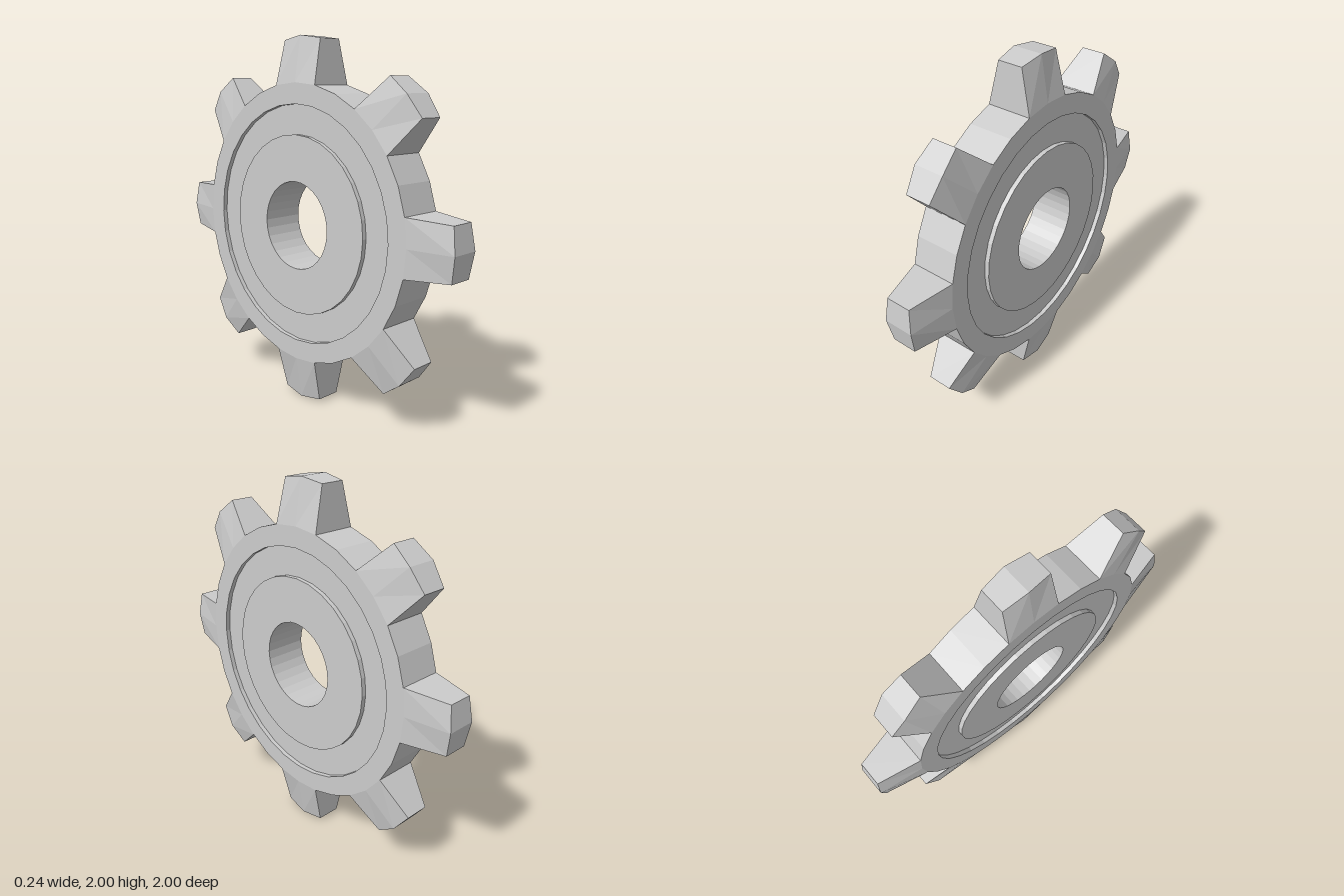
import * as THREE from 'three';

const SEGMENTS = 32, TEETH = 8;
const STEP = (Math.PI * 2) / SEGMENTS;
const ROOT = 0.76, HALF = 0.12;

// Disc turned about the x axis: bore, hub, recessed ring groove and rim
function discGeometry() {
  const bore = 0.24, hub = 0.49, rim = 0.65, floor = HALF - 0.025;
  const top = [[ROOT, HALF], [rim, HALF], [rim, floor], [hub, floor], [hub, HALF], [bore, HALF]];
  const bottom = top.map(([r, h]) => [r, -h]).reverse();
  const profile = [...top, ...bottom, top[0]].map(([r, h]) => new THREE.Vector2(r, h));
  const geo = new THREE.LatheGeometry(profile, SEGMENTS).toNonIndexed();
  geo.rotateZ(Math.PI / 2);
  geo.computeVertexNormals();
  return geo;
}

// Tapered tooth pointing along +y, lofted from a root section to a tip section
function toothGeometry() {
  const section = (z, yEdge, yMid, xEdge, xMid) => [
    [xEdge, yEdge, -z], [xMid, yMid, 0], [xEdge, yEdge, z],
    [-xEdge, yEdge, z], [-xMid, yMid, 0], [-xEdge, yEdge, -z],
  ];
  const root = section(ROOT * Math.sin(STEP), ROOT * Math.cos(STEP), ROOT, HALF, HALF);
  const tip = section(0.135, 0.98, 1, 0.067, 0.08);
  const pos = [];
  const quad = (a, b, c, d) => [a, b, c, a, c, d].forEach((p) => pos.push(...p));
  for (let i = 0; i < 6; i++) {
    const j = (i + 1) % 6;
    quad(root[j], root[i], tip[i], tip[j]);
  }
  // Shallow two-facet tip
  quad(tip[0], tip[5], tip[4], tip[1]);
  quad(tip[1], tip[4], tip[3], tip[2]);
  const geo = new THREE.BufferGeometry();
  geo.setAttribute('position', new THREE.Float32BufferAttribute(pos, 3));
  geo.computeVertexNormals();
  return geo;
}

export function createModel() {
  const material = new THREE.MeshStandardMaterial({ color: 0xcccccc, flatShading: true });
  const gear = new THREE.Group();
  gear.name = 'gear';
  gear.position.y = 1;

  const disc = new THREE.Mesh(discGeometry(), material);
  disc.name = 'gearDisc';
  gear.add(disc);

  // Evenly spaced teeth around the rim
  const toothGeo = toothGeometry();
  for (let i = 0; i < TEETH; i++) {
    const tooth = new THREE.Mesh(toothGeo, material);
    tooth.name = `tooth${i + 1}`;
    tooth.rotation.x = (i * Math.PI * 2) / TEETH;
    gear.add(tooth);
  }

  const model = new THREE.Group();
  model.name = 'gearWheel';
  model.add(gear);
  return model;
}
